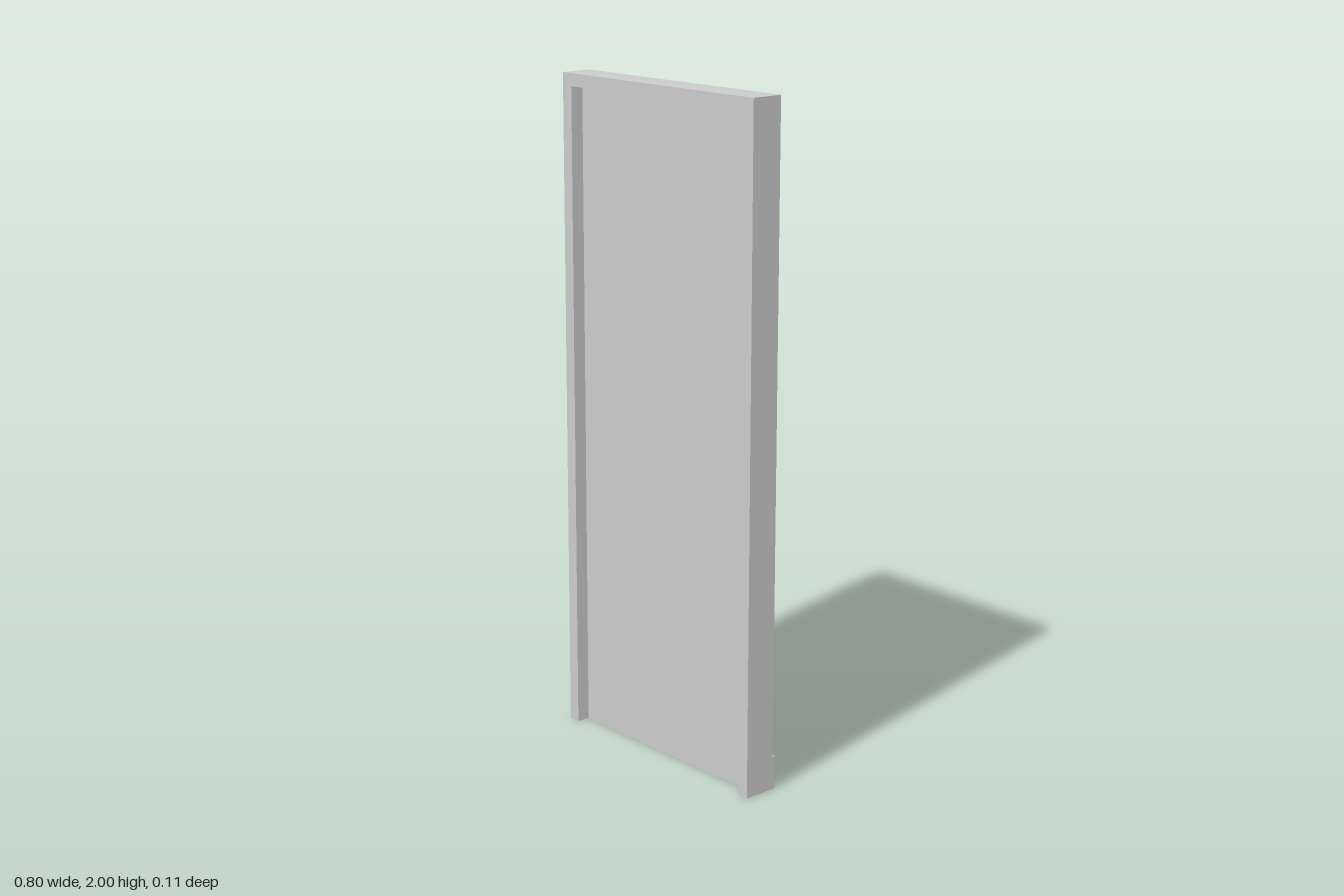
import * as THREE from 'three';

const W = 0.8, H = 2, BAR = 0.0375;
const BACK = -0.045, STEP = 0.014, FRONT = 0.055;

export function createModel() {
  const group = new THREE.Group();
  const material = new THREE.MeshStandardMaterial({ color: 0xcccccc, flatShading: true });
  const add = (name, geometry, x, y, z) => {
    const mesh = new THREE.Mesh(geometry, material);
    mesh.name = name;
    mesh.position.set(x, y, z);
    group.add(mesh);
  };

  // Full-size back panel
  add('backPanel', new THREE.BoxGeometry(W, H, STEP - BACK), 0, H / 2, (BACK + STEP) / 2);

  // Raised border on both sides and the top, open at the bottom
  const o = W / 2, i = o - BAR;
  const border = new THREE.Shape([
    [-o, 0], [-i, 0], [-i, H - BAR], [i, H - BAR], [i, 0], [o, 0], [o, H], [-o, H],
  ].map(([x, y]) => new THREE.Vector2(x, y)));
  add('frontBorder', new THREE.ExtrudeGeometry(border, { depth: FRONT - STEP, bevelEnabled: false }), 0, 0, STEP);

  // Small blocks at the bottom corners of the back
  for (const [name, side] of [['leftBackBlock', 1], ['rightBackBlock', -1]]) {
    add(name, new THREE.BoxGeometry(BAR, 0.1, 0.01), side * (o - BAR / 2), 0.05, BACK - 0.005);
  }
  return group;
}
